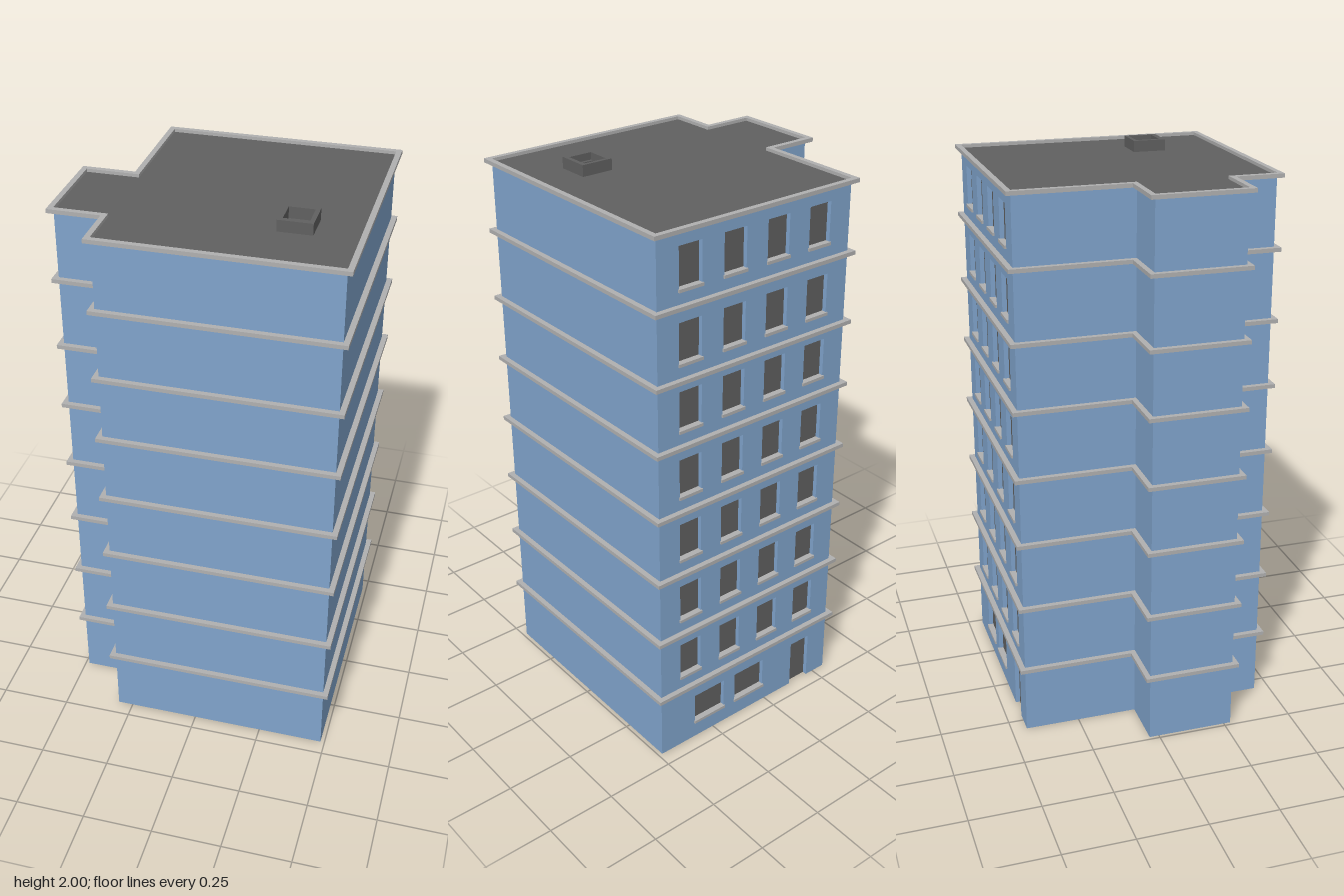
import * as THREE from 'three';

const mat = (color) => new THREE.MeshStandardMaterial({ color, flatShading: true });
const BACK = -0.445, REVEAL = 0.02;

// Closed polygon from [x, y] points
const polygon = (pts, Type = THREE.Shape) => new Type(pts.map(([x, y]) => new THREE.Vector2(x, y)));
const rect = (x0, y0, x1, y1) => [[x0, y0], [x1, y0], [x1, y1], [x0, y1]];

// Plan outline (x, -z) of main block plus side wing, grown outwards by o
const plan = (o = 0, back = BACK) => [
  [-0.305 - o, -0.445 - o], [0.485 + o, -0.445 - o], [0.485 + o, -back + o], [-0.305 - o, -back + o],
  [-0.305 - o, 0.035 + o], [-0.487 - o, 0.035 + o], [-0.487 - o, -0.275 - o], [-0.305 - o, -0.275 - o],
];

// Vertical prism standing on a plan shape
function prism(points, y0, y1, hole) {
  const shape = polygon(points);
  if (hole) shape.holes.push(polygon(hole, THREE.Path));
  const geo = new THREE.ExtrudeGeometry(shape, { depth: y1 - y0, bevelEnabled: false });
  return geo.rotateX(-Math.PI / 2).translate(0, y0, 0);
}

export function createModel() {
  const group = new THREE.Group();
  const wall = mat(0x80a4cc), trim = mat(0xb0b0b0), dark = mat(0x606060);

  const add = (name, geo, material) => {
    const mesh = new THREE.Mesh(geo, material);
    mesh.name = name;
    group.add(mesh);
  };
  const box = (name, x0, x1, y0, y1, z0, z1, material) => add(name,
    new THREE.BoxGeometry(x1 - x0, y1 - y0, z1 - z0)
      .translate((x0 + x1) / 2, (y0 + y1) / 2, (z0 + z1) / 2), material);

  // Body: ground storey with an entrance passage open below, then the upper storeys
  const inner = BACK + REVEAL;
  add('groundStorey', prism(plan(0, inner), 0, 0.2, rect(-0.217, 0.05, -0.13, 0.415)), wall);
  add('upperStoreys', prism(plan(0, inner), 0.2, 1.958), wall);

  // Ledge round the building at every floor
  const ledges = [0.25, 0.497, 0.745, 0.99, 1.235, 1.47, 1.718, 1.965];
  ledges.forEach((y) => add('floorLedge', prism(plan(0.019), y - 0.007, y + 0.007, plan()), trim));

  // Openings in the back wall: [x0, x1, y0, y1]
  const openings = [[0.2, 0.335, 0.07, 0.185], [0.012, 0.148, 0.07, 0.185]];
  for (const y of ledges.slice(0, -1)) {
    for (let i = 0; i < 4; i++) {
      const x = 0.355 - i * 0.1765;
      openings.push([x - 0.045, x + 0.045, y + 0.055, y + 0.195]);
    }
  }

  // Back wall, notched at the bottom for the door
  const facade = polygon([
    [-0.305, 0], [-0.217, 0], [-0.217, 0.185], [-0.13, 0.185], [-0.13, 0],
    [0.485, 0], [0.485, 1.958], [-0.305, 1.958],
  ]);
  for (const [x0, x1, y0, y1] of openings) facade.holes.push(polygon(rect(x0, y0, x1, y1), THREE.Path));
  add('backWall', new THREE.ExtrudeGeometry(facade, { depth: REVEAL, bevelEnabled: false })
    .translate(0, 0, BACK), wall);

  // Window panes with sills, and the door
  for (const [x0, x1, y0, y1] of openings) {
    box('windowPane', x0, x1, y0, y1, inner - 0.004, inner, dark);
    box('windowSill', x0 - 0.003, x1 + 0.003, y0 - 0.008, y0 + 0.003, BACK - 0.006, inner, trim);
  }
  box('door', -0.217, -0.13, 0, 0.185, inner - 0.004, inner + 0.002, dark);

  // Flat roof with a small open shaft
  add('roof', prism(plan(), 1.958, 1.961), dark);
  add('roofShaft', prism(rect(0.225, -0.24, 0.34, -0.125), 1.961, 2, rect(0.24, -0.222, 0.325, -0.138)), dark);
  box('shaftStep', 0.24, 0.325, 1.961, 1.975, 0.21, 0.222, dark);

  return group;
}
